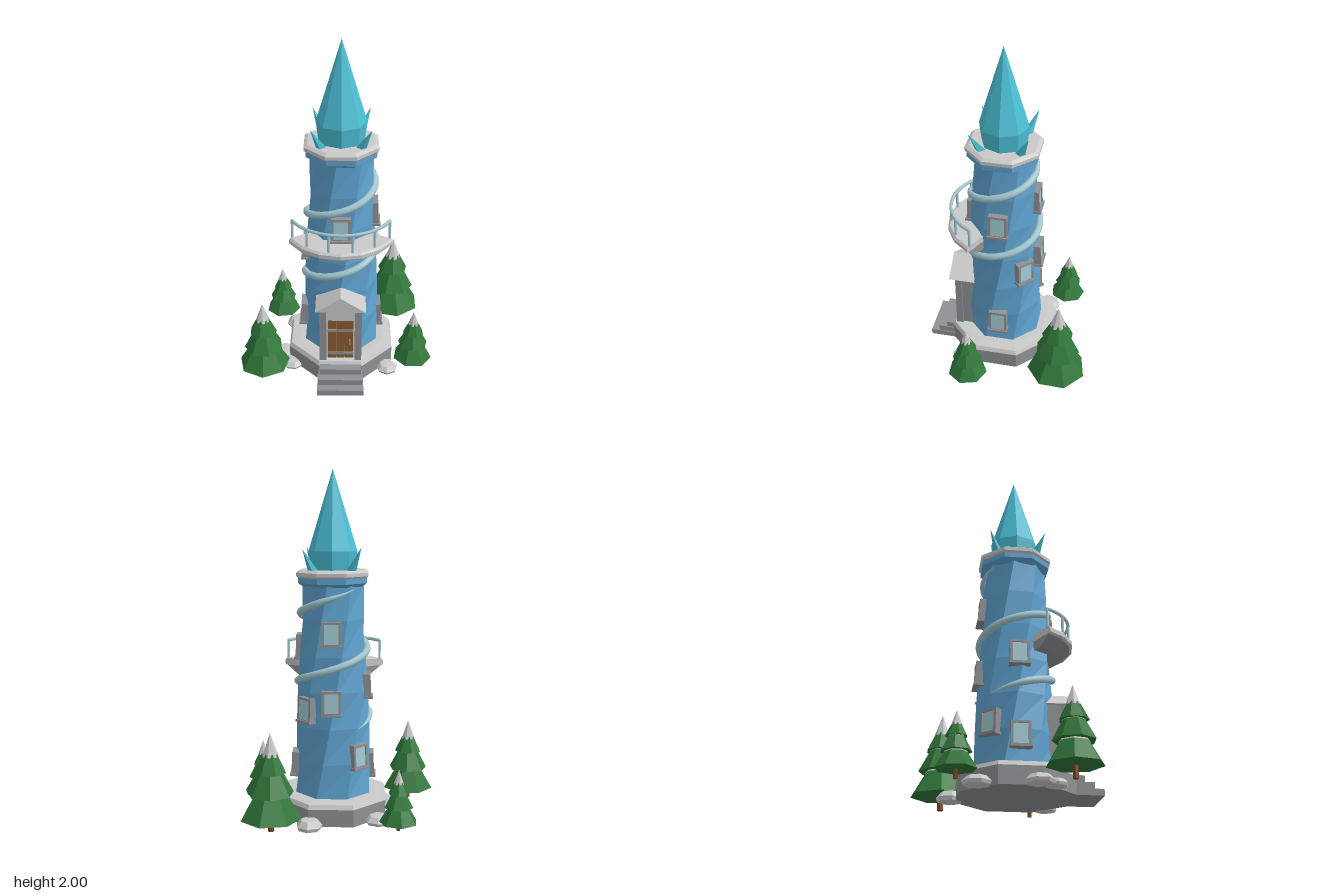
import * as THREE from 'three';

const flat = (name, color) => new THREE.MeshStandardMaterial({ name, color, flatShading: true });
const D = Math.PI / 180, OCT = 22.5 * D;

export function createModel() {
  const M = {
    wall: flat('wall blue', 0x5fa3d0),
    spire: flat('spire teal', 0x4cc0d6),
    light: flat('light stone', 0xc9c9c9),
    stone: flat('grey stone', 0x8f9194),
    glass: flat('window glass', 0xa3cdd6),
    rail: new THREE.MeshStandardMaterial({ name: 'pale rail', color: 0xa3c8d2 }),
    wood: flat('door wood', 0x8a5a2e),
    green: flat('pine green', 0x30773a),
    bark: flat('bark', 0x7a4420),
  };
  const capMat = M.stone.clone();
  capMat.side = THREE.DoubleSide;

  const root = new THREE.Group();
  root.name = 'tower scene';
  const tower = new THREE.Group();
  tower.name = 'tower';
  tower.position.set(0.02, 0, 0.05);
  root.add(tower);

  const add = (parent, name, geo, mat, x = 0, y = 0, z = 0) => {
    const m = new THREE.Mesh(geo, mat);
    m.name = name;
    m.position.set(x, y, z);
    parent.add(m);
    return m;
  };
  const box = (parent, name, mat, w, h, d, x, y, z) =>
    add(parent, name, new THREE.BoxGeometry(w, h, d), mat, x, y, z);
  const pts = (list) => list.map(([x, y]) => new THREE.Vector2(x, y));
  // Octagonal ring with flat faces on the axes; radii are given across the flats
  const octagon = (name, mat, list) =>
    add(tower, name, new THREE.LatheGeometry(pts(list.map(([r, y]) => [r / Math.cos(OCT), y])), 8, OCT), mat);

  // Plinth
  octagon('plinth', M.stone, [[0, 0], [0.31, 0], [0.31, 0.1]]);
  octagon('plinthTop', M.light, [[0.31, 0.1], [0.298, 0.125], [0.25, 0.13], [0, 0.13]]);

  // Twisted shaft
  const Y0 = 0.12, Y1 = 1.36;
  const radiusAt = (y) => 0.232 + (0.18 - 0.232) * (y - Y0) / (Y1 - Y0);
  const shaft = new THREE.CylinderGeometry(0.18, 0.232, Y1 - Y0, 8, 6, true);
  shaft.rotateY(OCT);
  shaft.translate(0, (Y0 + Y1) / 2, 0);
  const p = shaft.attributes.position, v = new THREE.Vector3(), up = new THREE.Vector3(0, 1, 0);
  for (let i = 0; i < p.count; i++) {
    v.fromBufferAttribute(p, i);
    v.applyAxisAngle(up, 60 * D * (v.y - Y0) / (Y1 - Y0));
    p.setXYZ(i, v.x, v.y, v.z);
  }
  add(tower, 'shaft', shaft, M.wall);

  // Cornice, rim and spire
  octagon('cornice', M.wall, [[0, 1.34], [0.168, 1.34], [0.195, 1.36], [0.195, 1.392]]);
  octagon('rim', M.light, [[0, 1.39], [0.195, 1.39], [0.205, 1.4], [0.205, 1.42], [0.185, 1.433], [0, 1.433]]);
  add(tower, 'spire', new THREE.LatheGeometry(pts([[0.128, 1.43], [0.14, 1.54], [0, 2]]), 8), M.spire);

  // Corner spikes leaning outwards
  for (const a of [45, 135, 225, 315]) {
    const dir = new THREE.Vector3(Math.sin(a * D) * 0.085, 0.14, Math.cos(a * D) * 0.085);
    const s = add(tower, 'spike', new THREE.ConeGeometry(0.03, dir.length(), 4), M.spire,
      Math.sin(a * D) * 0.188, 1.485, Math.cos(a * D) * 0.188);
    s.quaternion.setFromUnitVectors(up, dir.clone().normalize());
  }

  // Spiral band with tapered ends
  const spiralPts = [];
  for (let i = 0; i <= 48; i++) {
    const t = i / 48, y = 0.53 + 0.8 * t, a = (-135 + 720 * t) * D, r = radiusAt(y) + 0.002;
    spiralPts.push(new THREE.Vector3(Math.sin(a) * r, y, Math.cos(a) * r));
  }
  const curve = new THREE.CatmullRomCurve3(spiralPts);
  const SEG = 120, SIDES = 8;
  const tube = new THREE.TubeGeometry(curve, SEG, 0.021, SIDES);
  const tp = tube.attributes.position;
  for (let i = 0; i <= SEG; i++) {
    const c = curve.getPointAt(i / SEG), k = Math.min(1, 0.05 + Math.min(i, SEG - i) / 10);
    for (let j = 0; j <= SIDES; j++) {
      const n = i * (SIDES + 1) + j;
      v.fromBufferAttribute(tp, n).sub(c).multiplyScalar(k).add(c);
      tp.setXYZ(n, v.x, v.y, v.z);
    }
  }
  add(tower, 'spiralBand', tube, M.rail);

  // Balcony: wedge of a ring with closed ends
  const HALF = 62 * D;
  const wedge = (name, mat, list, ends) => {
    const profile = pts(list);
    add(tower, name, new THREE.LatheGeometry(profile, 6, -HALF, 2 * HALF), mat);
    for (const a of [-HALF, HALF])
      add(tower, name + 'End', new THREE.ShapeGeometry(new THREE.Shape(profile)), ends).rotation.y = a - Math.PI / 2;
  };
  const lightEnd = M.light.clone();
  lightEnd.side = THREE.DoubleSide;
  wedge('balconyFloor', M.light, [[0.05, 0.848], [0.325, 0.848], [0.333, 0.856], [0.333, 0.878], [0.322, 0.89], [0.05, 0.89]], lightEnd);
  wedge('balconySupport', M.stone, [[0.05, 0.795], [0.24, 0.795], [0.32, 0.85], [0.05, 0.85]], capMat);

  // Balcony railing
  const arc = [];
  for (let i = 0; i <= 12; i++) {
    const a = -HALF + 2 * HALF * i / 12;
    arc.push(new THREE.Vector3(Math.sin(a) * 0.31, 1.0, Math.cos(a) * 0.31));
  }
  add(tower, 'handrail', new THREE.TubeGeometry(new THREE.CatmullRomCurve3(arc), 32, 0.01, 6), M.rail);
  for (let i = 0; i < 6; i++) {
    const a = -HALF + 2 * HALF * i / 5;
    add(tower, 'railPost', new THREE.CylinderGeometry(0.008, 0.008, 0.12, 6), M.rail,
      Math.sin(a) * 0.31, 0.945, Math.cos(a) * 0.31);
  }

  // Windows: [angle from the front, height]
  for (const [a, y] of [[0, 0.97], [90, 0.99], [90, 0.29], [135, 0.64], [180, 1.08], [180, 0.69], [-90, 0.76], [-90, 0.29], [-135, 0.37]]) {
    const w = new THREE.Group(), r = radiusAt(y);
    w.name = 'window';
    w.position.set(Math.sin(a * D) * r, y, Math.cos(a * D) * r);
    w.rotation.set(-0.04, a * D, 0, 'YXZ');
    tower.add(w);
    for (const s of [-1, 1]) {
      box(w, 'windowJamb', M.stone, 0.014, 0.14, 0.05, s * 0.047, 0, -0.008);
      box(w, 'windowBar', M.stone, 0.108, 0.014, 0.05, 0, s * 0.063, -0.008);
    }
    box(w, 'windowSill', M.stone, 0.118, 0.014, 0.06, 0, -0.068, -0.004);
    box(w, 'windowPane', M.glass, 0.084, 0.115, 0.04, 0, 0, -0.01);
  }

  // Porch with gable roof
  const porch = new THREE.Group();
  porch.name = 'porch';
  porch.position.x = 0.02;
  root.add(porch);
  box(porch, 'porchWall', M.stone, 0.225, 0.4, 0.12, 0, 0.3, 0.25);
  box(porch, 'lintel', M.light, 0.17, 0.1, 0.014, 0, 0.45, 0.312);
  for (const s of [-1, 1]) {
    box(porch, 'porchColumn', M.stone, 0.04, 0.4, 0.04, s * 0.103, 0.3, 0.318);
    box(porch, 'doorJamb', M.light, 0.012, 0.3, 0.014, s * 0.08, 0.26, 0.312);
  }
  const gable = new THREE.Shape(pts([[-0.145, 0.495], [0.145, 0.495], [0, 0.592]]));
  add(porch, 'porchRoof', new THREE.ExtrudeGeometry(gable, { depth: 0.17, bevelEnabled: false }), M.light, 0, 0, 0.2);

  // Door
  for (let i = -1; i <= 1; i++) box(porch, 'doorPlank', M.wood, 0.05, 0.29, 0.02, i * 0.051, 0.255, 0.308);
  for (const y of [0.165, 0.33]) box(porch, 'doorBand', M.stone, 0.15, 0.016, 0.008, 0, y, 0.32);
  box(porch, 'doorHandle', M.stone, 0.01, 0.035, 0.014, 0.055, 0.25, 0.323);

  // Steps
  for (let i = 0; i < 3; i++) {
    const front = 0.505 - i * 0.05;
    box(porch, 'step', M.stone, 0.27 - i * 0.012, 0.036, front - 0.28, 0, 0.018 + i * 0.036, (front + 0.28) / 2);
  }

  // Pine trees: [x, z, height, turn]
  for (const [x, z, h, turn] of [[0.35, -0.33, 0.56, 0.2], [0.455, 0.195, 0.375, 0.5], [-0.435, 0.285, 0.487, 0.9], [-0.36, -0.295, 0.35, 0.6]]) {
    const tree = new THREE.Group();
    tree.name = 'pineTree';
    tree.position.set(x, 0, z);
    tree.rotation.y = turn;
    tree.scale.setScalar(h);
    root.add(tree);
    const ring = (name, mat, r0, r1, y0, y1, a) => {
      add(tree, name, new THREE.CylinderGeometry(r1, r0, y1 - y0, 7), mat, 0, (y0 + y1) / 2, 0).rotation.y = a;
    };
    ring('trunk', M.bark, 0.032, 0.028, 0, 0.18, 0);
    [[0.31, 0.16, 0.14, 0.39], [0.235, 0.115, 0.39, 0.62], [0.165, 0.07, 0.61, 0.8]].forEach(([r0, r1, y0, y1], i) => {
      ring('foliage', M.green, r0, r1, y0, y1, i * 0.35);
      if (i < 2) ring('snowLayer', M.light, r1 + 0.012, r1, y1 - 0.015, y1 + 0.015, i * 0.35);
    });
    ring('snowTip', M.light, 0.085, 0.001, 0.77, 1, 1);
  }

  // Rocks at the plinth: [x, z, radius, height]
  for (const [x, z, r, h] of [[0.14, -0.29, 0.075, 0.06], [-0.25, -0.18, 0.08, 0.05], [-0.32, 0.13, 0.08, 0.05], [-0.27, 0.22, 0.065, 0.04], [0.3, 0.26, 0.065, 0.045]]) {
    const rock = new THREE.LatheGeometry(pts([[0, 0], [r * 0.9, 0], [r, h * 0.35], [r * 0.65, h * 0.9], [0, h]]), 7, x * 9);
    add(root, 'rock', rock, M.light, x, 0, z);
  }
  return root;
}
